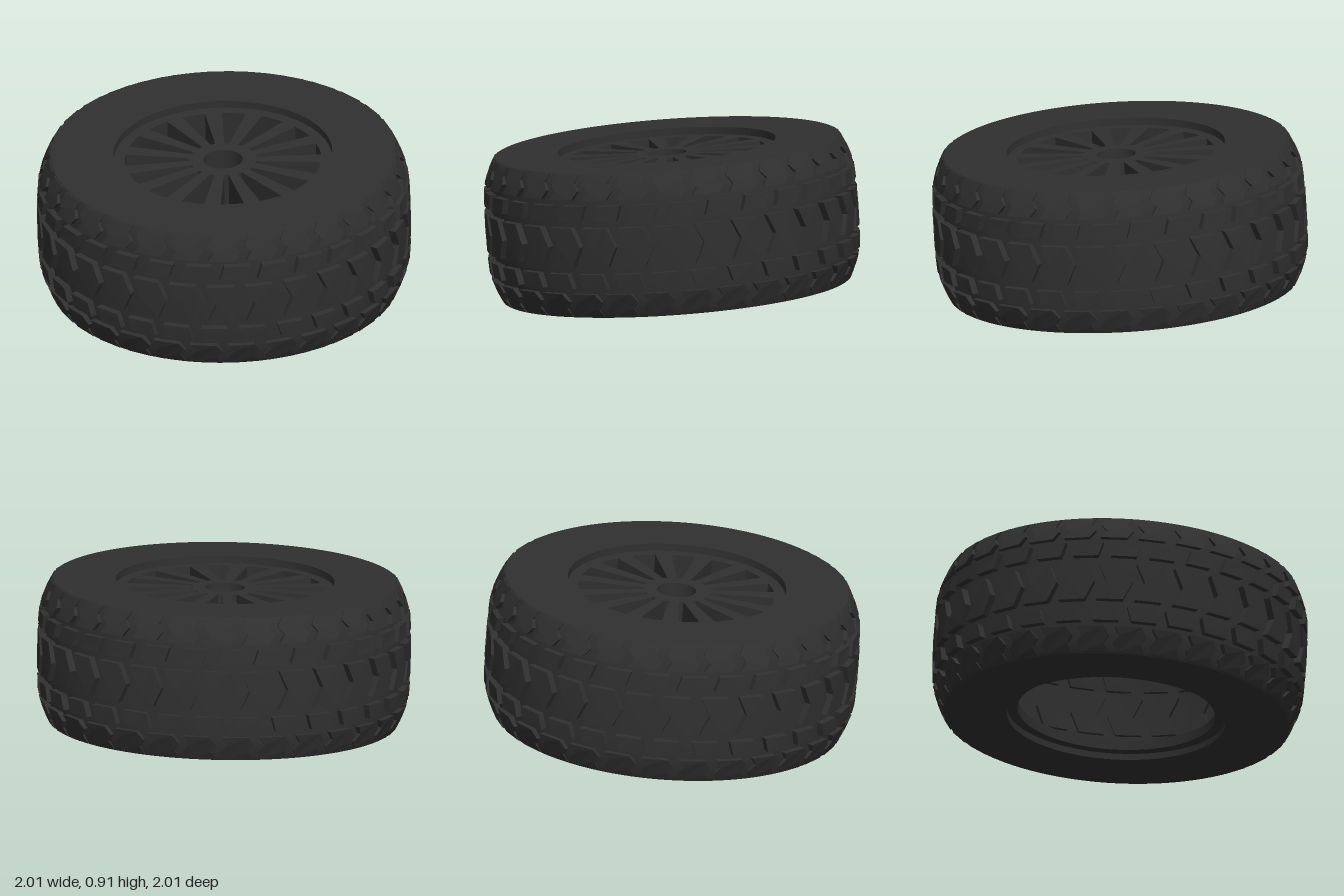
import * as THREE from 'three';
import { mergeGeometries, toCreasedNormals } from 'three/addons/utils/BufferGeometryUtils.js';

const HALF = 0.39; // half the tyre width
const COUNT = 30; // tread blocks per row
const SPOKES = 15;
const TAU = Math.PI * 2;

const material = new THREE.MeshStandardMaterial({ color: 0x303030, side: THREE.DoubleSide });

function addMesh(group, name, geometry) {
  const mesh = new THREE.Mesh(geometry, material);
  mesh.name = name;
  group.add(mesh);
}

const lathe = (points) =>
  toCreasedNormals(new THREE.LatheGeometry(points.map((p) => new THREE.Vector2(...p)), 96), 0.4);

// Crowned outer radius of the tread at axial position v
function treadRadius(v) {
  const a = Math.abs(v);
  if (a < 0.2) return 1 - 0.1 * a * a;
  return 0.996 - 0.066 * ((a - 0.2) / 0.19) ** 1.5;
}

// One tread block: outline in (angle, axial) bent around the tyre
function treadBlock(outline) {
  const shape = new THREE.Shape(outline.map((p) => new THREE.Vector2(...p)));
  const g = new THREE.ExtrudeGeometry(shape, { depth: 1, bevelEnabled: false });
  const pos = g.attributes.position;
  for (let i = 0; i < pos.count; i++) {
    const s = pos.getX(i), v = pos.getY(i);
    const r = treadRadius(v) - (pos.getZ(i) > 0.5 ? 0 : 0.06);
    pos.setXYZ(i, r * Math.sin(s), v, r * Math.cos(s));
  }
  g.computeVertexNormals();
  return g;
}

function treadRow(outline, phase) {
  const block = treadBlock(outline);
  const blocks = [];
  for (let i = 0; i < COUNT; i++) blocks.push(block.clone().rotateY(((i + phase) / COUNT) * TAU));
  return mergeGeometries(blocks);
}

// Spoked disc: ring with tapered windows
function spokedDisc() {
  const disc = new THREE.Shape().absarc(0, 0, 0.585, 0, TAU, false);
  disc.holes.push(new THREE.Path().absarc(0, 0, 0.105, 0, TAU, true));
  const step = TAU / SPOKES, rIn = 0.18, rOut = 0.525;
  for (let i = 0; i < SPOKES; i++) {
    const a = THREE.MathUtils.degToRad(95) + i * step;
    const spokeIn = 0.025 / rIn, spokeOut = 0.045 / rOut;
    const hole = new THREE.Path();
    hole.absarc(0, 0, rOut, a + spokeOut, a + step - spokeOut, false);
    hole.absarc(0, 0, rIn, a + step - spokeIn, a + spokeIn, true);
    hole.closePath();
    disc.holes.push(hole);
  }
  const g = new THREE.ExtrudeGeometry(disc, { depth: 0.18, bevelEnabled: false, curveSegments: 24 });
  return g.rotateX(-Math.PI / 2).translate(0, 0.17, 0);
}

export function createModel() {
  const model = new THREE.Group();
  model.name = 'wheel';

  // Hollow tyre shell with flat sidewalls
  addMesh(model, 'tyreCarcass', lathe([
    [0.585, -HALF], [0.922, -HALF], [0.936, -0.365], [0.952, -0.27], [0.96, -0.15],
    [0.96, 0.15], [0.952, 0.27], [0.936, 0.365], [0.922, HALF], [0.585, HALF],
  ]));

  // Central chevron row
  addMesh(model, 'centreTread', treadRow([
    [-0.1, 0.105], [0.045, 0.105], [0.095, 0], [0.045, -0.105], [-0.1, -0.105], [-0.05, 0],
  ], 0));

  // Mirrored intermediate and shoulder rows
  const middle = [[-0.085, 0.145], [0.055, 0.145], [0.08, 0.225], [-0.06, 0.225]];
  const shoulder = [
    [-0.095, 0.255], [0.05, 0.255], [0.085, 0.3], [0.055, 0.34],
    [0.08, 0.385], [-0.075, 0.385], [-0.1, 0.34], [-0.065, 0.3],
  ];
  for (const side of [1, -1]) {
    const label = side > 0 ? 'upper' : 'lower';
    const mirrored = (outline) => outline.map(([s, v]) => [s, v * side]);
    addMesh(model, label + 'MiddleTread', treadRow(mirrored(middle), 0.25 * side));
    addMesh(model, label + 'ShoulderTread', treadRow(mirrored(shoulder), 0.25 - 0.25 * side));
  }

  // Rim: recessed spoked face above, open flange below
  addMesh(model, 'spokes', spokedDisc());
  addMesh(model, 'upperRimLip', lathe([[0.585, 0.34], [0.585, HALF]]));
  addMesh(model, 'lowerRimFlange', lathe([
    [0.53, -0.3], [0.53, -0.355], [0.585, -0.355], [0.585, -HALF],
  ]));

  // The wheel lies on its side with a slight lean
  const axis = new THREE.Vector3(0.043, 1, 0.06).normalize();
  model.quaternion.setFromUnitVectors(new THREE.Vector3(0, 1, 0), axis);
  model.position.y = 0.459;

  const root = new THREE.Group();
  root.name = 'leaningWheel';
  root.add(model);
  return root;
}
